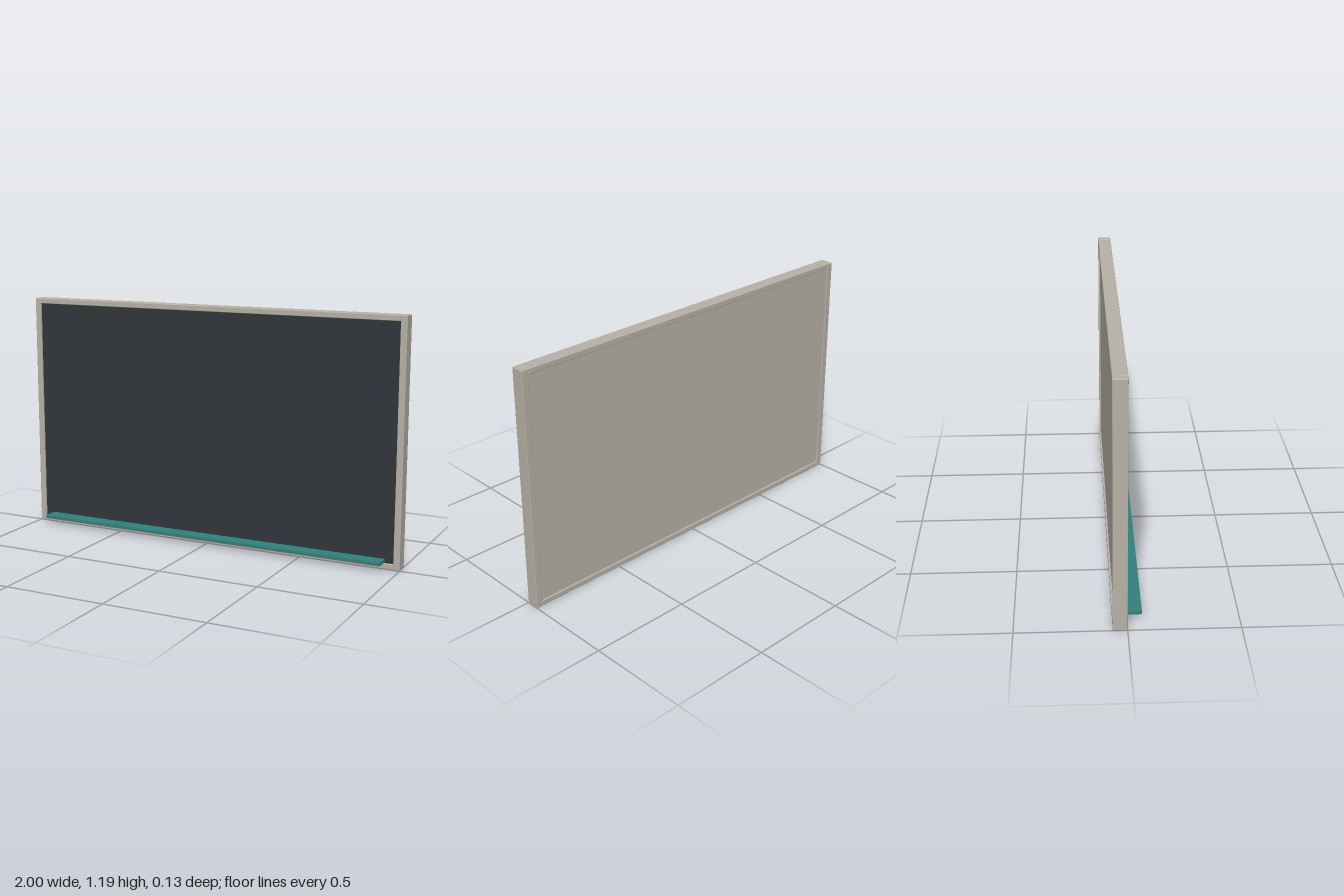
import * as THREE from 'three';
import { RoundedBoxGeometry } from 'three/addons/geometries/RoundedBoxGeometry.js';

const W = 2, H = 1.19, D = 0.066;   // overall frame size
const STILE = 0.032, RAIL = 0.027;  // frame member widths
const EDGE = 0.003;                 // softened frame edges

export function createModel() {
  const group = new THREE.Group();
  const frameMat = new THREE.MeshStandardMaterial({ color: 0xb7b2a6 });
  const boardMat = new THREE.MeshStandardMaterial({ color: 0x31363a });
  const trayMat = new THREE.MeshStandardMaterial({ color: 0x34807d });

  function add(name, geometry, material, x, y, z) {
    const mesh = new THREE.Mesh(geometry, material);
    mesh.name = name;
    mesh.position.set(x, y, z);
    group.add(mesh);
  }

  // Upright frame members at both ends
  for (const side of [-1, 1]) {
    add(side > 0 ? 'leftStile' : 'rightStile',
      new RoundedBoxGeometry(STILE, H, D, 2, EDGE), frameMat,
      side * (W - STILE) / 2, H / 2, -D / 2);
  }

  // Horizontal frame members between the uprights
  for (const [name, y] of [['bottomRail', RAIL / 2], ['topRail', H - RAIL / 2]]) {
    add(name, new RoundedBoxGeometry(W - 2 * STILE, RAIL, D, 2, EDGE), frameMat, 0, y, -D / 2);
  }

  // Writing surface and its backing, both set in from the frame faces
  const panelW = W - 2 * STILE + 0.004, panelH = H - 2 * RAIL + 0.004;
  add('writingSurface', new THREE.BoxGeometry(panelW, panelH, 0.02), boardMat, 0, H / 2, -0.018);
  add('backPanel', new THREE.BoxGeometry(panelW, panelH, 0.03), frameMat, 0, H / 2, -0.042);

  // Chalk ledge along the bottom, reaching back to the writing surface
  add('chalkTray', new THREE.BoxGeometry(1.85, 0.016, 0.076), trayMat, 0, 0.039, 0.028);

  return group;
}
